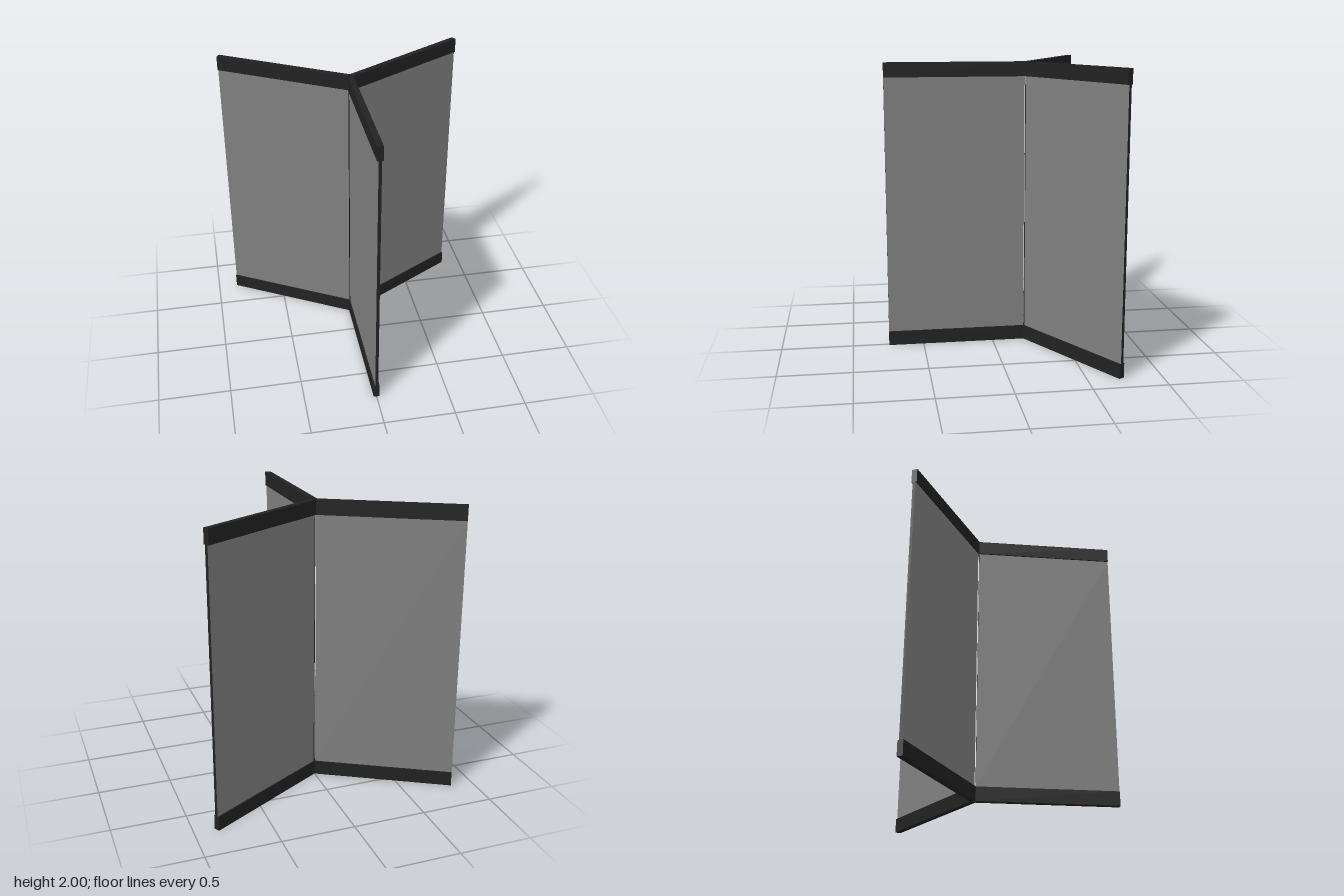
import * as THREE from 'three';

export function createModel() {
  const model = new THREE.Group();
  model.name = 'revolvingDoor';

  const frame = new THREE.MeshStandardMaterial({ color: 0x222222 });
  const pane = new THREE.MeshStandardMaterial({ color: 0x808080 });

  const inner = 0.0115, outer = 0.982;   // wing extent from the pivot
  const length = outer - inner, middle = (inner + outer) / 2;
  const height = 2, railHeight = 0.1, railWidth = 0.04, paneWidth = 0.021;

  const railGeometry = new THREE.BoxGeometry(railWidth, railHeight, length);
  const paneGeometry = new THREE.BoxGeometry(paneWidth, height - 2 * railHeight, length);
  // Pane faces are grey, its narrow edges dark
  const paneMaterials = [pane, pane, frame, frame, frame, frame];

  // Three equal wings around the pivot
  ['front', 'left', 'right'].forEach((name, i) => {
    const wing = new THREE.Group();
    wing.name = name + 'Wing';

    const panel = new THREE.Mesh(paneGeometry, paneMaterials);
    panel.name = 'panel';
    panel.position.set(0, height / 2, middle);
    wing.add(panel);

    // Top and bottom rails
    for (const [railName, y] of [['bottomRail', railHeight / 2], ['topRail', height - railHeight / 2]]) {
      const rail = new THREE.Mesh(railGeometry, frame);
      rail.name = railName;
      rail.position.set(0, y, middle);
      wing.add(rail);
    }

    wing.rotation.y = i * Math.PI * 2 / 3;
    wing.position.z = -0.237;
    model.add(wing);
  });

  return model;
}
